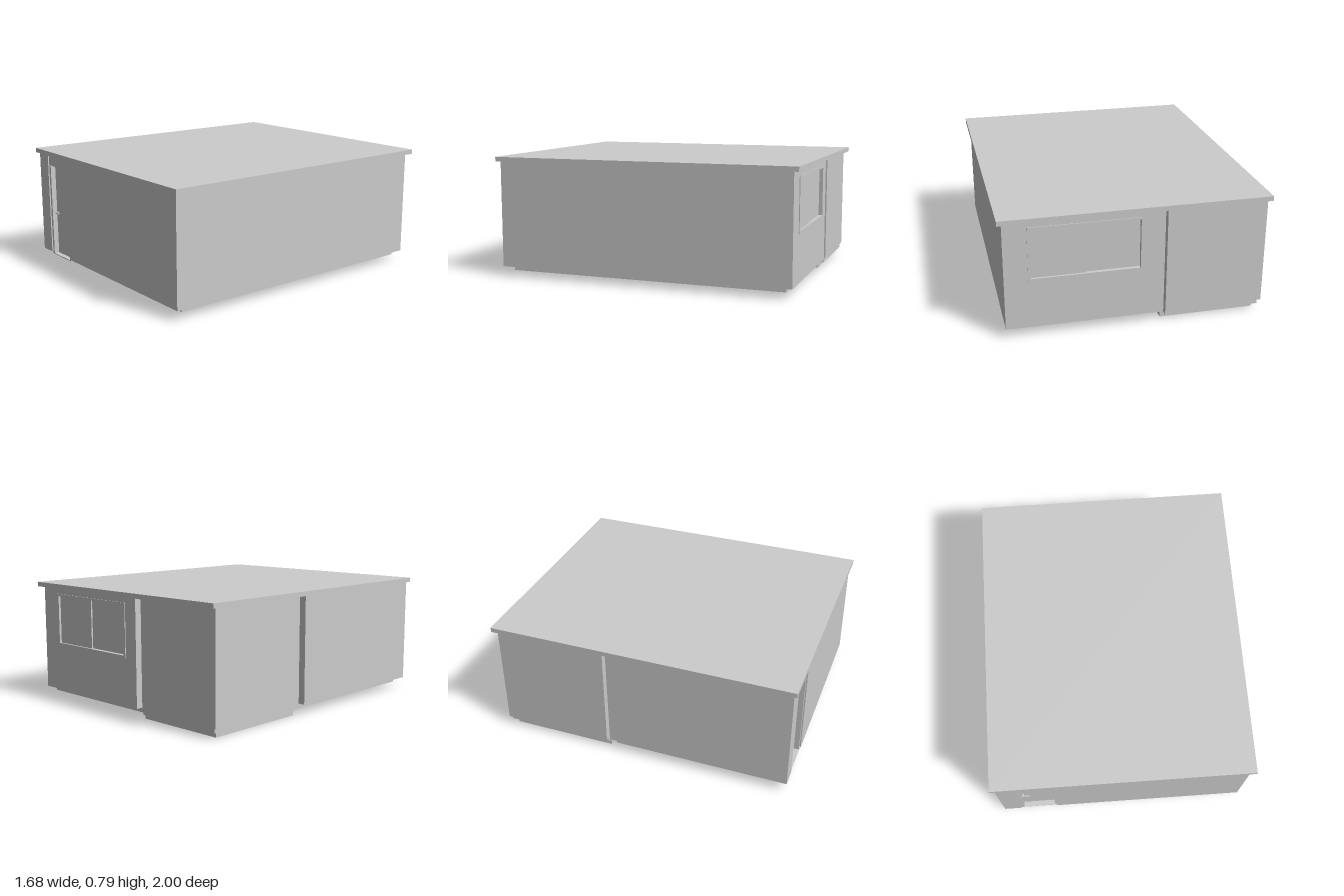
import * as THREE from 'three';

const material = new THREE.MeshStandardMaterial({ color: 0xcccccc, flatShading: true });

// Box given by its lower and upper limits on each axis
function block(name, [x0, x1], [y0, y1], [z0, z1]) {
  const mesh = new THREE.Mesh(new THREE.BoxGeometry(x1 - x0, y1 - y0, z1 - z0), material);
  mesh.name = name;
  mesh.position.set((x0 + x1) / 2, (y0 + y1) / 2, (z0 + z1) / 2);
  return mesh;
}

// Upright panel in the xy plane with one rectangular opening
function panelWithOpening(name, [x0, x1], [y0, y1], [z0, z1], [hx0, hx1], [hy0, hy1]) {
  const rect = (Type, a, b, c, d) => {
    const path = new Type();
    path.moveTo(a, c).lineTo(b, c).lineTo(b, d).lineTo(a, d).closePath();
    return path;
  };
  const shape = rect(THREE.Shape, x0, x1, y0, y1);
  shape.holes.push(rect(THREE.Path, hx0, hx1, hy0, hy1));
  const geometry = new THREE.ExtrudeGeometry(shape, { depth: z1 - z0, bevelEnabled: false });
  geometry.translate(0, 0, z0);
  const mesh = new THREE.Mesh(geometry, material);
  mesh.name = name;
  return mesh;
}

export function createModel() {
  const house = new THREE.Group();
  house.name = 'house';
  const wallY = [0.065, 0.76];
  const slabY = [0.035, 0.065];

  // Roof slab, floor slab and inner shell
  house.add(
    block('roof', [-0.84, 0.84], [0.76, 0.79], [-1, 1]),
    block('floorSlab', [-0.775, 0.77], slabY, [-0.92, 0.92]),
    block('innerShell', [-0.775, 0.765], wallY, [-0.92, 0.92])
  );

  // Main outer walls
  const walls = new THREE.Group();
  walls.name = 'mainWalls';
  walls.add(
    block('rightSideWall', [0.765, 0.81], wallY, [-0.965, 0.98]),
    block('leftSideWall', [-0.82, -0.775], wallY, [-0.165, 0.98]),
    block('frontWallNarrow', [-0.775, -0.705], wallY, [0.92, 0.98]),
    block('frontWallWide', [-0.45, 0.765], wallY, [0.92, 0.98]),
    panelWithOpening('backWall', [-0.137, 0.765], wallY, [-0.965, -0.92],
      [-0.04, 0.665], [0.37, 0.72])
  );
  house.add(walls);

  // Corner room, set off from the main walls by narrow gaps
  const room = new THREE.Group();
  room.name = 'cornerRoom';
  room.add(
    block('roomSideWall', [-0.82, -0.775], wallY, [-0.965, -0.238]),
    block('roomBackWall', [-0.775, -0.188], wallY, [-0.965, -0.92]),
    block('roomSideFloor', [-0.8, -0.775], slabY, [-0.955, -0.238]),
    block('roomBackFloor', [-0.775, -0.188], slabY, [-0.955, -0.92]),
    block('roomPlinth', [-0.778, -0.165], [0, 0.035], [-0.92, -0.225])
  );
  house.add(room);

  // Door with frame, leaf and lever handle
  const door = new THREE.Group();
  door.name = 'door';
  door.add(
    panelWithOpening('doorFrame', [-0.705, -0.45], [0.05, 0.76], [0.92, 0.972],
      [-0.685, -0.467], [0.056, 0.685]),
    block('doorLeaf', [-0.685, -0.467], [0.056, 0.685], [0.92, 0.938]),
    block('handleStem', [-0.67, -0.662], [0.346, 0.354], [0.938, 0.958]),
    block('handleLever', [-0.67, -0.625], [0.346, 0.354], [0.952, 0.96])
  );
  house.add(door);

  // Sliding window: frame and two overlapping sashes
  const win = new THREE.Group();
  win.name = 'window';
  win.add(panelWithOpening('windowFrame', [-0.04, 0.665], [0.37, 0.72], [-0.97, -0.92],
    [-0.022, 0.647], [0.388, 0.705]));
  [[-0.022, 0.325, -0.945], [0.315, 0.647, -0.955]].forEach(([x0, x1, z]) => {
    win.add(block('sash', [x0, x1], [0.388, 0.705], [z, z + 0.01]));
  });
  house.add(win);

  return house;
}
